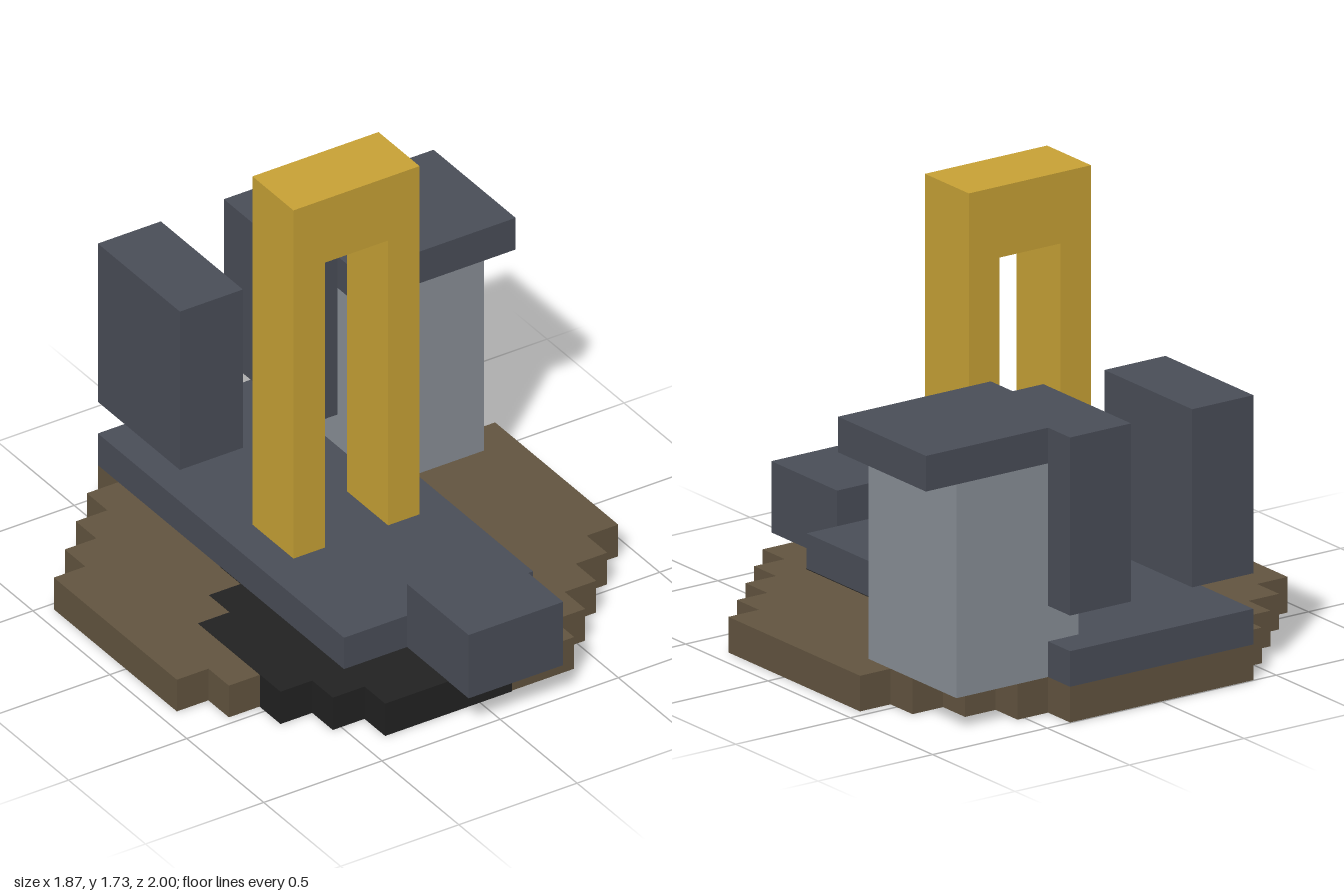
import * as THREE from 'three';

const U = 2 / 15; // one grid block

const mat = (name, color) => {
  const m = new THREE.MeshStandardMaterial({ color });
  m.name = name;
  return m;
};

// Stepped round outline: rotate one staircase quadrant four times
function steppedDisc(radius, flat) {
  const pts = [];
  for (let q = 0; q < 4; q++) {
    const add = (x, y) => {
      for (let k = 0; k < q; k++) [x, y] = [-y, x];
      pts.push(new THREE.Vector2(x * U, y * U));
    };
    for (let i = radius, j = flat; i >= flat; i--, j++) {
      if (i < radius) add(i, j - 1);
      add(i, j);
    }
  }
  const geo = new THREE.ExtrudeGeometry(new THREE.Shape(pts), { depth: U, bevelEnabled: false });
  return geo.rotateX(-Math.PI / 2);
}

export function createModel() {
  const group = new THREE.Group();
  const brown = mat('earth brown', 0x635540);
  const black = mat('black', 0x222222);
  const slate = mat('dark slate', 0x4a4e58);
  const grey = mat('light grey', 0x8a9098);
  const gold = mat('gold', 0xc9a336);

  const add = (name, geo, material) => {
    const mesh = new THREE.Mesh(geo, material);
    mesh.name = name;
    group.add(mesh);
    return mesh;
  };
  // Box from its minimum and maximum corners, in grid blocks
  const block = (name, material, [x0, y0, z0], [x1, y1, z1]) =>
    add(name, new THREE.BoxGeometry((x1 - x0) * U, (y1 - y0) * U, (z1 - z0) * U), material)
      .position.set((x0 + x1) / 2 * U, (y0 + y1) / 2 * U, (z0 + z1) / 2 * U);

  // Round base with an inset dark disc reaching its front edge
  add('base', steppedDisc(7, 3), brown).position.z = -U / 2;
  const inset = add('baseInset', steppedDisc(4, 2), black);
  inset.scale.set(1.005, 1.02, 1.005);
  inset.position.set(-U, -0.01 * U, 2.5 * U);

  // Deck and front block
  block('deck', slate, [-3, 1, -7.5], [3, 2, 4.5]);
  block('frontBlock', slate, [-1, 1, 4.5], [2, 3, 7.5]);

  // Arch
  const arch = new THREE.Shape([
    [-2, 2], [-1, 2], [-1, 11], [1, 11], [1, 2], [2, 2], [2, 13], [-2, 13],
  ].map(([x, y]) => new THREE.Vector2(x * U, y * U)));
  add('arch', new THREE.ExtrudeGeometry(arch, { depth: 2 * U, bevelEnabled: false }), gold)
    .position.z = -1.5 * U;

  // Pair of raised rear blocks
  block('rearBlockRight', slate, [-3, 3, -7.5], [-1, 8, -3.5]);
  block('rearBlockLeft', slate, [1, 3, -7.5], [3, 8, -3.5]);

  // Side tower with overhanging roof
  block('tower', grey, [2, 1, -6.5], [6, 7, -2.5]);
  block('towerRoof', slate, [2, 7, -6.5], [7, 8, -2.5]);

  // Small curved dark patch at the foot of the tower
  const patch = new THREE.Shape();
  patch.moveTo(3 * U, U);
  patch.lineTo(3.75 * U, U);
  patch.quadraticCurveTo(3.2 * U, 1.2 * U, 3 * U, 2 * U);
  add('towerFootPatch', new THREE.ShapeGeometry(patch), slate).position.z = -2.5 * U + 0.003;

  return group;
}
